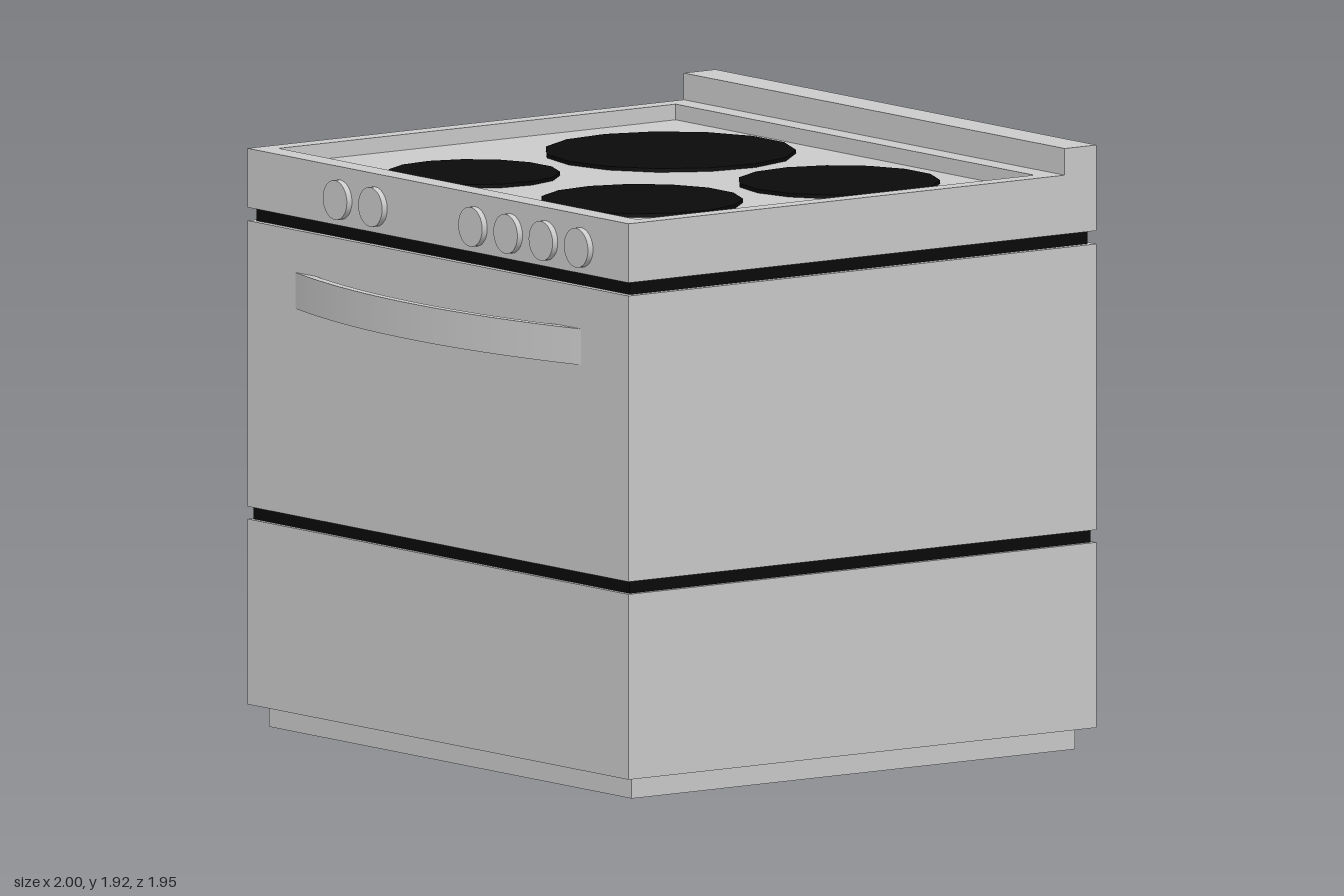
import * as THREE from 'three';

const grey = new THREE.MeshStandardMaterial({ color: 0xcccccc });
const black = new THREE.MeshStandardMaterial({ color: 0x0a0a0a });
const BACK = -0.973, FRONT = 0.868;

export function createModel() {
  const stove = new THREE.Group();
  stove.name = 'stove';

  const add = (name, geometry, material = grey) => {
    const mesh = new THREE.Mesh(geometry, material);
    mesh.name = name;
    stove.add(mesh);
    return mesh;
  };

  // Box given by its limits on each axis
  const box = (name, [x0, x1], [y0, y1], [z0, z1], material) =>
    add(name, new THREE.BoxGeometry(x1 - x0, y1 - y0, z1 - z0), material)
      .position.set((x0 + x1) / 2, (y0 + y1) / 2, (z0 + z1) / 2);

  // Full-footprint layer, inset evenly on all four sides
  const layer = (name, y0, y1, inset, material) =>
    box(name, [-1 + inset, 1 - inset], [y0, y1], [BACK + inset, FRONT - inset], material);

  // Plan outline (x, z) raised between two heights
  const raise = (shape, y0, y1, curveSegments = 12) =>
    new THREE.ExtrudeGeometry(shape, { depth: y1 - y0, bevelEnabled: false, curveSegments })
      .rotateX(Math.PI / 2).translate(0, y1, 0);

  const corners = (x, z0, z1) =>
    [[-x, z0], [x, z0], [x, z1], [-x, z1]].map(([a, b]) => new THREE.Vector2(a, b));

  // Stacked body with dark recessed gaps
  layer('plinth', 0, 0.07, 0.048);
  layer('drawer', 0.07, 0.66, 0);
  layer('lowerGap', 0.66, 0.7, 0.014, black);
  layer('ovenBody', 0.7, 1.61, 0);
  layer('upperGap', 1.61, 1.652, 0.02, black);

  // Top housing with a sunken hob and a raised back edge
  const rim = new THREE.Shape(corners(1, BACK, FRONT));
  rim.holes.push(new THREE.Path(corners(0.94, -0.772, 0.79)));
  add('topHousing', raise(rim, 1.652, 1.84));
  box('hobPlate', [-0.94, 0.94], [1.652, 1.79], [-0.772, 0.79]);
  box('backsplash', [-1, 1], [1.84, 1.925], [BACK, -0.848]);

  // Hotplates: x, z, radius
  [[-0.375, -0.325, 0.397], [0.455, -0.367, 0.319],
    [-0.375, 0.448, 0.273], [0.4, 0.368, 0.32]].forEach(([x, z, r]) => {
    add('hotplate', new THREE.CylinderGeometry(r, r, 0.012, 15), black).position.set(x, 1.796, z);
  });

  // Control knobs
  [-0.515, -0.33, 0.195, 0.38, 0.565, 0.75].forEach((x) => {
    const knob = add('knob', new THREE.CylinderGeometry(0.063, 0.063, 0.03, 32).rotateX(Math.PI / 2));
    knob.position.set(x, 1.735, 0.873);
  });

  // Bowed oven handle
  const centreZ = -1.757, outer = 2.73, inner = 2.702, half = 0.278;
  const bow = new THREE.Shape();
  bow.absarc(0, centreZ, outer, Math.PI / 2 - half, Math.PI / 2 + half, false);
  bow.absarc(0, centreZ, inner, Math.PI / 2 + half, Math.PI / 2 - half, true);
  add('ovenHandle', raise(bow, 1.36, 1.475, 20));

  return stove;
}
